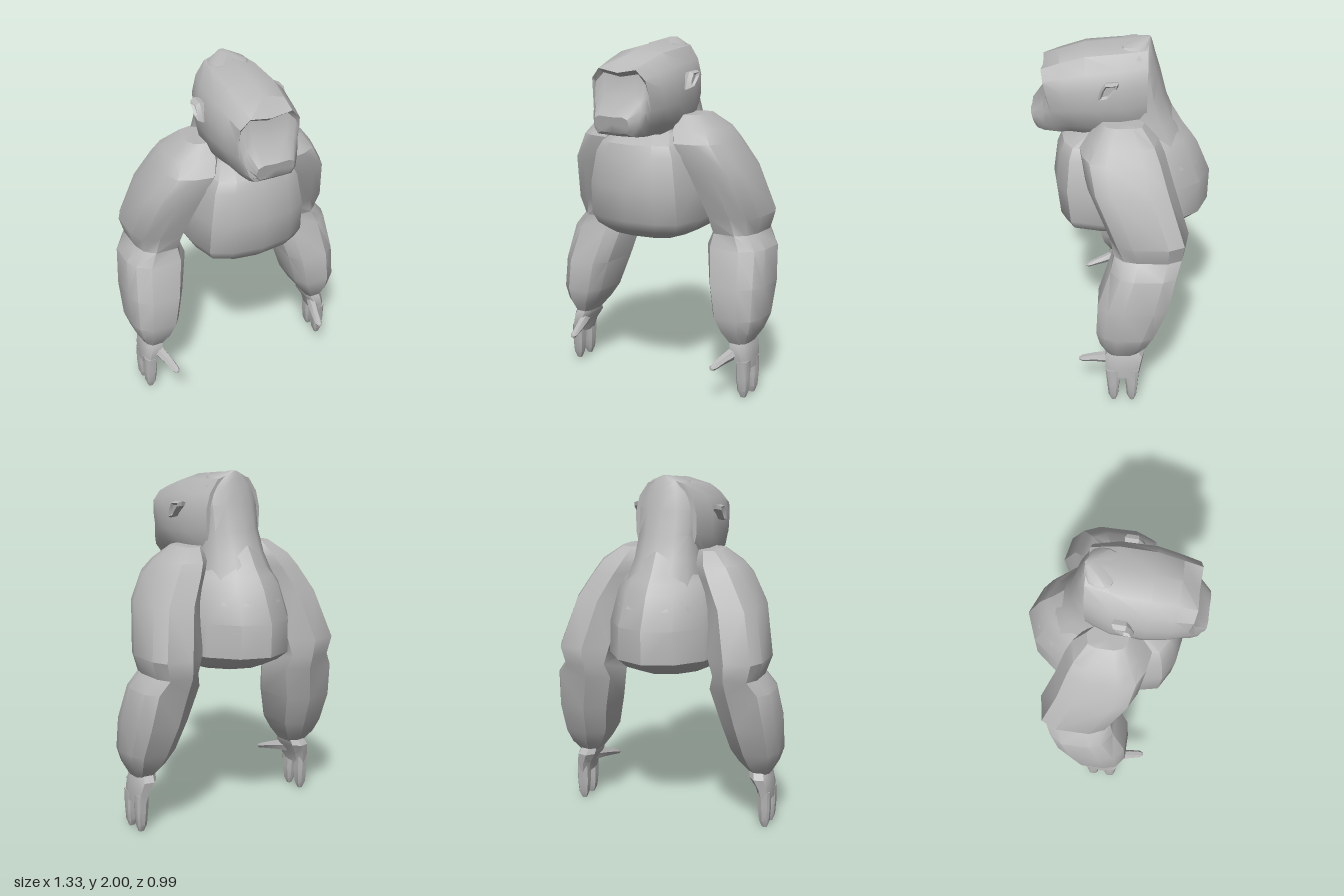
import * as THREE from 'three';
import { toCreasedNormals } from 'three/addons/utils/BufferGeometryUtils.js';

const fur = new THREE.MeshStandardMaterial({ color: 0xb8b8b8 });
fur.name = 'grey fur';
const { lerp } = THREE.MathUtils;

// Skins a list of equal-length rings of [x, y, z] points and caps both ends.
function loft(name, rings, crease = 0.6) {
  const n = rings[0].length;
  const points = rings.flat().map((p) => new THREE.Vector3(...p));
  let faces = [];
  for (let r = 0; r < rings.length - 1; r++) {
    for (let i = 0; i < n; i++) {
      const a = r * n + i, b = r * n + (i + 1) % n;
      faces.push([a, b, b + n], [a, b + n, a + n]);
    }
  }
  [[0, true], [rings.length - 1, false]].forEach(([r, flip]) => {
    const centre = new THREE.Vector3();
    for (let i = 0; i < n; i++) centre.addScaledVector(points[r * n + i], 1 / n);
    const c = points.push(centre) - 1;
    for (let i = 0; i < n; i++) {
      const a = r * n + i, b = r * n + (i + 1) % n;
      faces.push(flip ? [b, a, c] : [a, b, c]);
    }
  });
  // Turn the faces outward whichever way the rings run
  let volume = 0;
  const v = new THREE.Vector3();
  for (const [a, b, c] of faces) volume += points[a].dot(v.crossVectors(points[b], points[c]));
  if (volume < 0) faces = faces.map(([a, b, c]) => [a, c, b]);
  const geometry = new THREE.BufferGeometry().setFromPoints(points);
  geometry.setIndex(faces.flat());
  const mesh = new THREE.Mesh(toCreasedNormals(geometry, crease), fur);
  mesh.name = name;
  return mesh;
}

// Completes a half outline that starts and ends on the centre line.
const mirrored = (half) => [...half, ...half.slice(1, -1).reverse().map(([x, y, z]) => [-x, y, z])];

// Horizontal body slice: half width w, front zf, back zb
const bodyHalf = [[0, 0], [0.55, 0.03], [0.88, 0.1], [1, 0.3], [1, 0.55], [0.87, 0.76], [0.5, 0.93], [0, 1]];
const bodyRing = ([y, w, zf, zb]) => mirrored(bodyHalf.map(([x, t]) => [x * w, y, lerp(zf, zb, t)]));

// Upright head slice, leaning from zb at its bottom yb to zt at its top yt
const skullHalf = [[0, 0], [0.6, 0.02], [0.88, 0.16], [1, 0.38], [1, 0.6], [0.87, 0.78], [0.58, 0.93], [0, 1]];
const faceHalf = [[0, 0], [0.72, 0.01], [0.9, 0.16], [1, 0.42], [1, 0.68], [0.95, 0.9], [0.66, 1.06], [0, 1]];
const headRing = ([half, w, yb, zb, yt, zt]) =>
  mirrored(half.map(([x, t]) => [x * w, lerp(yb, yt, t), lerp(zb, zt, t)]));

// Limb outlines as fractions from inner to outer side and back to front
const upperOutline = [[0, 0.8], [0.2, 1], [0.6, 0.96], [0.88, 0.87], [1, 0.68], [1, 0.25], [0.87, 0.06], [0.4, 0], [0, 0.22]];
const lowerOutline = [[0, 0.8], [0.17, 1], [0.7, 1], [0.92, 0.86], [1, 0.66], [1, 0.25], [0.86, 0.06], [0.35, 0], [0, 0.2]];
const limbRing = (s, outline) => ([y, x0, x1, z0, z1]) =>
  outline.map(([x, z]) => [s * lerp(x0, x1, x), y, lerp(z0, z1, z)]);

function arm(side, s) {
  const group = new THREE.Group();
  group.name = side + 'Arm';
  const upper = limbRing(s, upperOutline), lower = limbRing(s, lowerOutline);
  // y, inner x, outer x, back z, front z
  group.add(loft('upperAndLowerArm', [
    ...[
      [1.595, 0.16, 0.295, -0.12, 0.11],
      [1.52, 0.14, 0.4, -0.195, 0.18],
      [1.45, 0.17, 0.45, -0.23, 0.23],
      [1.3, 0.24, 0.54, -0.28, 0.2],
      [1.03, 0.3, 0.61, -0.365, 0.08],
    ].map(upper),
    ...[
      [0.93, 0.33, 0.58, -0.35, 0.04],
      [0.85, 0.305, 0.645, -0.32, 0.06],
      [0.65, 0.355, 0.667, -0.28, 0.13],
      [0.47, 0.395, 0.667, -0.2, 0.14],
      [0.39, 0.44, 0.64, -0.155, 0.12],
      [0.32, 0.49, 0.6, -0.09, 0.08],
    ].map(lower),
  ]));
  group.add(loft('palm', [
    [0.34, 0.49, 0.59, -0.1, 0.07],
    [0.3, 0.495, 0.605, -0.13, 0.09],
    [0.24, 0.53, 0.615, -0.115, 0.09],
    [0.17, 0.55, 0.615, -0.1, 0.08],
  ].map(lower)));
  // Two thick fingers
  for (const z of [0.045, -0.06]) {
    group.add(loft('finger', [
      [0.22, 0.548, 0.615, z - 0.045, z + 0.045],
      [0.12, 0.548, 0.617, z - 0.035, z + 0.035],
      [0.04, 0.555, 0.612, z - 0.028, z + 0.028],
      [0, 0.57, 0.598, z - 0.012, z + 0.012],
    ].map(lower)));
  }
  // Thumb reaching forward: z, centre x, centre y, half width, half height
  group.add(loft('thumb', [
    [0, 0.555, 0.27, 0.032, 0.05],
    [0.08, 0.525, 0.255, 0.032, 0.034],
    [0.16, 0.502, 0.235, 0.027, 0.024],
    [0.225, 0.488, 0.216, 0.022, 0.017],
    [0.245, 0.486, 0.211, 0.01, 0.008],
  ].map(([z, x, y, w, h]) => Array.from({ length: 6 }, (_, i) => {
    const a = i * Math.PI / 3;
    return [s * (x + w * Math.cos(a)), y + h * Math.sin(a), z];
  }))));
  return group;
}

function ear(side, s) {
  // Outline in z, y; the rim stands away from the skull
  const outline = [[0.13, 1.735], [0.08, 1.745], [0.02, 1.81], [0.015, 1.835], [0.09, 1.83], [0.115, 1.79]];
  const slice = (x, k) => outline.map(([z, y]) => [s * x, lerp(1.787, y, k), lerp(0.07, z, k)]);
  return loft(side + 'Ear', [slice(0.2, 0.8), slice(0.24, 1), slice(0.265, 0.8), slice(0.25, 0.55)], 0.4);
}

export function createModel() {
  const model = new THREE.Group();
  model.name = 'apeBust';

  model.add(loft('torso', [
    [0.893, 0.12, 0.16, -0.14],
    [0.92, 0.23, 0.29, -0.31],
    [0.96, 0.295, 0.34, -0.41],
    [1.015, 0.325, 0.37, -0.49],
    [1.2, 0.318, 0.39, -0.495],
    [1.38, 0.285, 0.365, -0.42],
    [1.44, 0.25, 0.34, -0.38],
    [1.5, 0.19, 0.24, -0.335],
    [1.6, 0.14, 0.1, -0.275],
  ].map(bodyRing)));

  // Thick nape running from the crown down to the back
  model.add(loft('nape', [
    [1.3, 0.24, 0.05, -0.445],
    [1.55, 0.18, 0.05, -0.295],
    [1.68, 0.168, 0.05, -0.24],
    [1.82, 0.168, 0.03, -0.205],
    [1.92, 0.142, 0.01, -0.175],
    [1.97, 0.1, 0.01, -0.162],
    [2, 0.02, -0.11, -0.152],
  ].map(bodyRing)));

  model.add(loft('head', [
    [skullHalf, 0.18, 1.5, -0.13, 1.993, -0.14],
    [skullHalf, 0.225, 1.47, 0, 1.988, 0],
    [skullHalf, 0.232, 1.48, 0.17, 1.968, 0.2],
    [skullHalf, 0.215, 1.49, 0.27, 1.925, 0.34],
    [faceHalf, 0.182, 1.495, 0.35, 1.838, 0.43],
    [faceHalf, 0.17, 1.5, 0.425, 1.815, 0.4],
    [faceHalf, 0.15, 1.51, 0.465, 1.71, 0.418],
    [faceHalf, 0.11, 1.525, 0.48, 1.61, 0.498],
  ].map(headRing)));

  for (const [side, s] of [['left', 1], ['right', -1]]) model.add(arm(side, s), ear(side, s));
  return model;
}
